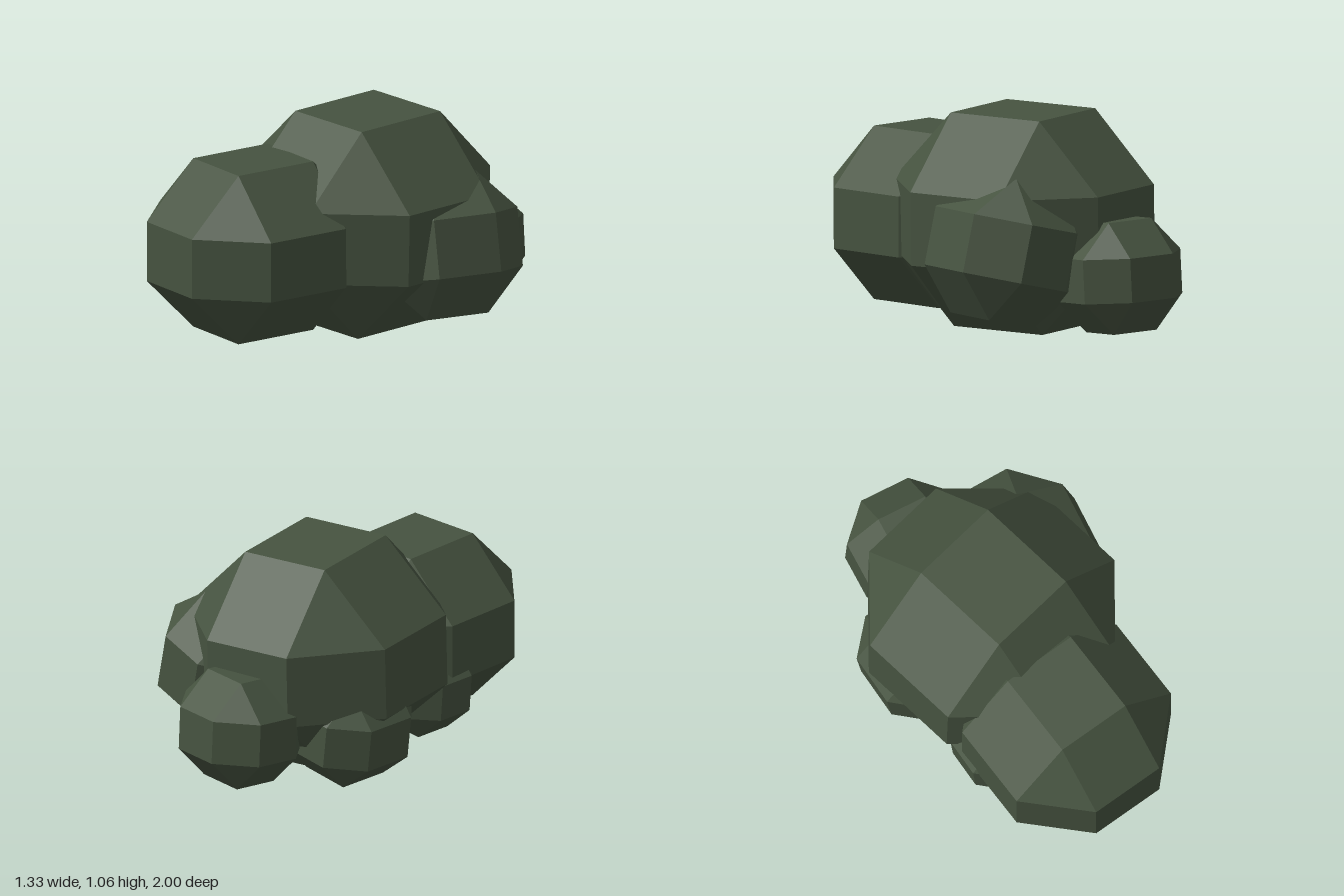
import * as THREE from 'three';
import { ConvexGeometry } from 'three/addons/geometries/ConvexGeometry.js';

// Box with every edge cut back by the same bevel: 24 corner points
function beveledBox(hx, hy, hz, bevel) {
  const half = [hx, hy, hz];
  const points = [];
  for (let axis = 0; axis < 3; axis++) {
    for (const sx of [-1, 1]) for (const sy of [-1, 1]) for (const sz of [-1, 1]) {
      const inset = half.map((h, i) => (i === axis ? h : h - bevel));
      points.push(new THREE.Vector3(sx * inset[0], sy * inset[1], sz * inset[2]));
    }
  }
  return new ConvexGeometry(points);
}

// Each clump of leaves: half sizes, bevel, centre and rotation
const clumps = [
  { name: 'mainClump', half: [0.56, 0.51, 0.592], bevel: 0.335, at: [-0.065, 0.547, -0.128], turn: [0, 0.04, -0.025] },
  { name: 'frontClump', half: [0.453, 0.413, 0.483], bevel: 0.268, at: [-0.165, 0.5, 0.494], turn: [0, -0.115, 0] },
  { name: 'leftClump', half: [0.33, 0.34, 0.36], bevel: 0.2, at: [0.28, 0.445, -0.285], turn: [0, -0.3, 0.23] },
  { name: 'backClump', half: [0.285, 0.265, 0.27], bevel: 0.16, at: [-0.043, 0.325, -0.71], turn: [0.06, -0.27, 0] },
  { name: 'lowerRightBackClump', half: [0.275, 0.255, 0.28], bevel: 0.15, at: [-0.365, 0.275, -0.285], turn: [0, -0.17, 0.12] },
  { name: 'lowerRightFrontClump', half: [0.25, 0.23, 0.235], bevel: 0.14, at: [-0.355, 0.295, 0.285], turn: [0, -0.16, 0.08] },
];

export function createModel() {
  const bush = new THREE.Group();
  bush.name = 'bush';
  const leaves = new THREE.MeshStandardMaterial({ color: 0x465340, flatShading: true });
  for (const { name, half, bevel, at, turn } of clumps) {
    const clump = new THREE.Mesh(beveledBox(...half, bevel), leaves);
    clump.name = name;
    clump.position.set(...at);
    clump.rotation.set(...turn);
    bush.add(clump);
  }
  return bush;
}
